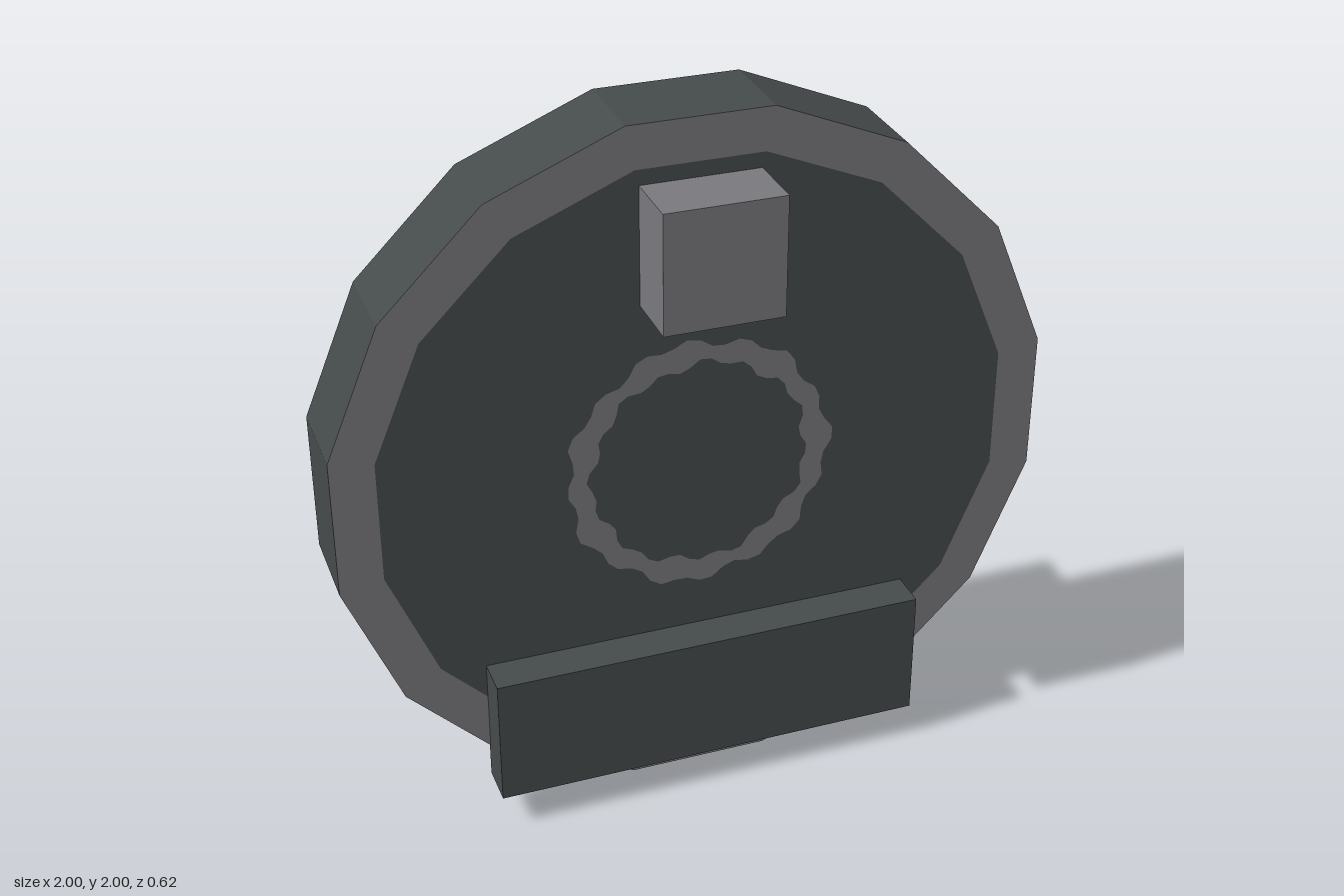
import * as THREE from 'three';

const SIDES = 16;
const FRONT = 0.13;
const BACK = -0.13;

// Points of the sixteen-sided outline, flat side up, measured to the flats
function outline(apothem) {
  const r = apothem / Math.cos(Math.PI / SIDES);
  return Array.from({ length: SIDES }, (_, i) => {
    const a = ((i + 0.5) / SIDES) * Math.PI * 2;
    return new THREE.Vector2(r * Math.cos(a), r * Math.sin(a));
  });
}

// Uneven circle for the worn ring around the hub
function ragged(radius, wobble, phase) {
  return Array.from({ length: 64 }, (_, i) => {
    const a = (i / 64) * Math.PI * 2;
    const r = radius + wobble * (0.7 * Math.sin(16 * a + phase) + 0.4 * Math.sin(7 * a + 2 * phase));
    return new THREE.Vector2(r * Math.cos(a), r * Math.sin(a));
  });
}

function flatRing(outer, inner) {
  const shape = new THREE.Shape(outer);
  if (inner) shape.holes.push(new THREE.Path(inner));
  return new THREE.ShapeGeometry(shape);
}

export function createModel() {
  const model = new THREE.Group();
  const dark = new THREE.MeshStandardMaterial({ color: 0x454a4a, side: THREE.DoubleSide });
  dark.name = 'dark grey';
  const light = new THREE.MeshStandardMaterial({ color: 0x78787d, side: THREE.DoubleSide });
  light.name = 'light grey';

  function add(name, geometry, material, x, y, z, parent = model) {
    const mesh = new THREE.Mesh(geometry, material);
    mesh.name = name;
    mesh.position.set(x, y, z);
    parent.add(mesh);
    return mesh;
  }

  // Front face, from the rim inwards
  const rimInner = outline(0.88);
  const hubOuter = ragged(0.37, 0.018, 0.6);
  const hubInner = ragged(0.305, 0.016, 2.1);
  add('rimFace', flatRing(outline(1), rimInner), light, 0, 1, FRONT);
  add('frontDisc', flatRing(rimInner, hubOuter), dark, 0, 1, FRONT);
  add('hubRing', flatRing(hubOuter, hubInner), light, 0, 1, FRONT);
  add('hubDisc', flatRing(hubInner), dark, 0, 1, FRONT);

  // Open-backed body: eight crossing channels, each with two long walls and two rim ends
  const depth = FRONT - BACK;
  const half = Math.tan(Math.PI / SIDES);
  const wall = new THREE.PlaneGeometry(depth, 2).rotateY(Math.PI / 2);
  const rimEnd = new THREE.PlaneGeometry(half * 2, depth).rotateX(-Math.PI / 2);
  for (let i = 0; i < SIDES / 2; i++) {
    const channel = new THREE.Group();
    channel.name = 'channel' + (i + 1);
    channel.position.set(0, 1, (FRONT + BACK) / 2);
    channel.rotation.z = (i / SIDES) * Math.PI * 2;
    for (const s of [-1, 1]) {
      add('channelWall', wall, dark, s * half, 0, 0, channel).rotation.y = s < 0 ? Math.PI : 0;
      add('rimEnd', rimEnd, dark, 0, s, 0, channel).rotation.z = s < 0 ? Math.PI : 0;
    }
    model.add(channel);
  }

  // Blocks fixed to the front and back
  add('topBlock', new THREE.BoxGeometry(0.33, 0.335, 0.18), light, 0, 1.67, 0.22);
  add('lowerBar', new THREE.BoxGeometry(1.24, 0.38, 0.12), dark, 0, 0.29, 0.18);
  add('backPlate', new THREE.BoxGeometry(0.667, 0.667, 0.18), light, 0, 1, -0.22);

  return model;
}
